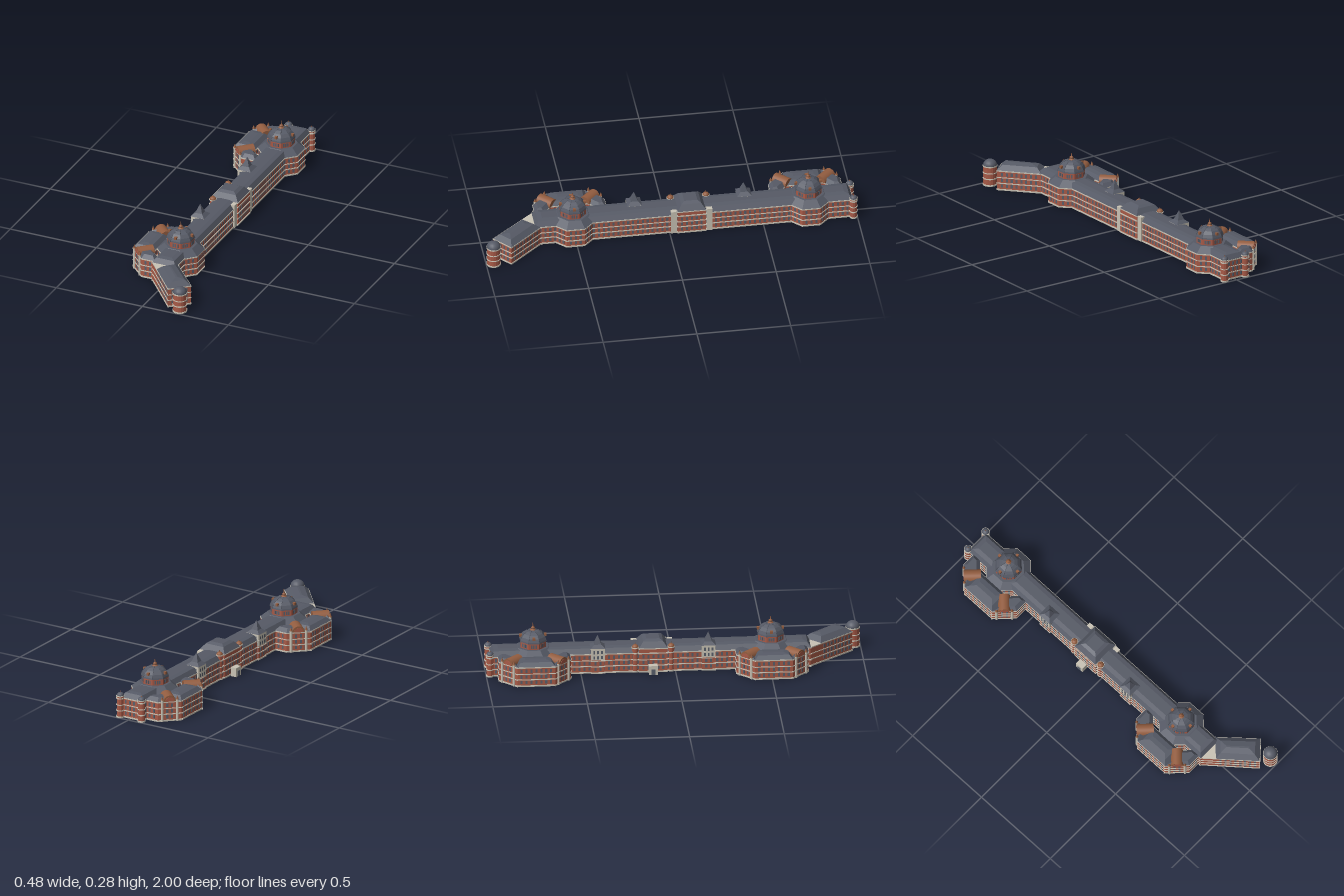
import * as THREE from 'three';
import { mergeGeometries } from 'three/addons/utils/BufferGeometryUtils.js';

const mat = (name, color) => Object.assign(new THREE.MeshStandardMaterial({ color }), { name });
const brick = mat('brick', 0xa85a47), stone = mat('stone', 0xc9c3b5), slate = mat('slate', 0x565a66);
const copper = mat('copper', 0x935d40), glass = mat('glass', 0x59606c);
const EAVE = 0.11;

// ---- footprint helpers: points are [x, z], counter-clockwise seen from above ----
function ordered(pts) {
  let area = 0;
  pts.forEach(([x, z], i) => {
    const [u, w] = pts[(i + 1) % pts.length];
    area += z * u - x * w;
  });
  return area > 0 ? pts : [...pts].reverse();
}
function outward(a, b) {
  const l = Math.hypot(b[0] - a[0], b[1] - a[1]);
  return [-(b[1] - a[1]) / l, (b[0] - a[0]) / l];
}
function offset(pts, d) {
  const n = pts.length;
  return pts.map((p, i) => {
    const a = outward(pts[(i + n - 1) % n], p), b = outward(p, pts[(i + 1) % n]);
    const k = d / (1 + a[0] * b[0] + a[1] * b[1]);
    return [p[0] + (a[0] + b[0]) * k, p[1] + (a[1] + b[1]) * k];
  });
}
const rect = (x0, x1, z0, z1) => [[x0, z1], [x1, z1], [x1, z0], [x0, z0]];
const ngon = (n, r, x, z) => Array.from({ length: n }, (_, i) => {
  const t = (i + 0.5) / n * Math.PI * 2;
  return [x + r * Math.cos(t), z - r * Math.sin(t)];
});
function prism(pts, y0, y1) {
  const s = new THREE.Shape(pts.map(([x, z]) => new THREE.Vector2(x, -z)));
  return new THREE.ExtrudeGeometry(s, { depth: y1 - y0, bevelEnabled: false }).rotateX(-Math.PI / 2).translate(0, y0, 0);
}
// Flat-faced loft through rings [footprint, y], closed on top
function loft(rings) {
  const v = [], n = rings[0][0].length;
  const P = (r, i) => [r[0][i % n][0], r[1], r[0][i % n][1]];
  for (let k = 0; k + 1 < rings.length; k++) for (let i = 0; i < n; i++) {
    const a = P(rings[k], i), b = P(rings[k], i + 1), c = P(rings[k + 1], i + 1), d = P(rings[k + 1], i);
    v.push(...a, ...b, ...c, ...a, ...c, ...d);
  }
  const top = rings[rings.length - 1];
  for (let i = 1; i + 1 < n; i++) v.push(...P(top, 0), ...P(top, i), ...P(top, i + 1));
  const g = new THREE.BufferGeometry();
  g.setAttribute('position', new THREE.Float32BufferAttribute(v, 3));
  g.computeVertexNormals();
  return g;
}
function add(parent, name, geo, material, x = 0, y = 0, z = 0) {
  const m = new THREE.Mesh(geo, material);
  m.name = name;
  m.position.set(x, y, z);
  parent.add(m);
  return m;
}
function group(parent, name) {
  const g = new THREE.Group();
  g.name = name;
  parent.add(g);
  return g;
}
// Evenly spaced window plates along each wall of a footprint
function windows(pts, rows, gap, w) {
  const out = [];
  pts.forEach((a, i) => {
    const b = pts[(i + 1) % pts.length], n = outward(a, b);
    const len = Math.hypot(b[0] - a[0], b[1] - a[1]), count = Math.floor((len - 0.012) / gap);
    for (let k = 0; k < count; k++) for (const [y0, y1] of rows) {
      const t = 0.5 + (k - (count - 1) / 2) * gap / len;
      out.push(new THREE.BoxGeometry(w, y1 - y0, 0.003).rotateY(Math.atan2(n[0], n[1]))
        .translate(a[0] + (b[0] - a[0]) * t, (y0 + y1) / 2, a[1] + (b[1] - a[1]) * t));
    }
  });
  return out.length ? mergeGeometries(out) : null;
}
const FLOORS = [[0.016, 0.034], [0.047, 0.066], [0.079, 0.098]];
// Brick block with stone bands, cornice and windows
function block(parent, name, footprint, { top = EAVE, glazed = true } = {}) {
  const g = group(parent, name), pts = ordered(footprint), edge = offset(pts, 0.003);
  add(g, 'brickWalls', prism(pts, 0.004, top - 0.003), brick);
  const bands = [[0, 0.008], [0.037, 0.042], [0.069, 0.073], [0.104, EAVE]];
  if (top > EAVE) bands.push([top - 0.005, top]);
  add(g, 'stoneBands', mergeGeometries(bands.map(([a, b]) => prism(edge, a, b))), stone);
  const panes = glazed && windows(pts, FLOORS, 0.026, 0.011);
  if (panes) add(g, 'windows', panes, glass);
  return g;
}
// Steep lower slope and a nearly flat upper slope
function mansard(parent, name, footprint, y0, y1, inset, ridge = 0, ridgeInset = 0) {
  const pts = ordered(footprint), rings = [[offset(pts, 0.001), y0], [offset(pts, -inset), y1]];
  if (ridge) rings.push([offset(pts, -ridgeInset), ridge]);
  add(parent, name, loft(rings), slate);
}
function turret(parent, name, x, z, r, h, sides, capMaterial) {
  const g = block(parent, name, ngon(sides, r, x, z), { top: h, glazed: false });
  add(g, 'cap', new THREE.SphereGeometry(r * 1.03, sides, 6, 0, Math.PI * 2, 0, Math.PI / 2), capMaterial, x, h, z).scale.y = 0.88;
  return g;
}

// Octagonal hall with drum, ribbed dome, lantern and spire
function domeHall(parent, z) {
  const g = group(parent, 'domeHall'), x = -0.005;
  const hall = ngon(8, 0.125, x, z);
  block(g, 'octagonHall', hall);
  mansard(g, 'octagonRoof', hall, EAVE, 0.142, 0.035);
  const drum = ngon(8, 0.072, x, z);
  add(g, 'drum', prism(drum, 0.135, 0.174), brick);
  add(g, 'drumWindows', windows(drum, [[0.148, 0.167]], 0.012, 0.008), glass);
  const profile = [[0.075, 0.174], [0.073, 0.182], [0.066, 0.198], [0.052, 0.214], [0.034, 0.225], [0.014, 0.23]];
  add(g, 'dome', loft(profile.map(([r, y]) => [ngon(8, r, x, z), y])), slate);
  for (let i = 0; i < 8; i++) {
    const t = (i + 0.5) * Math.PI / 4;
    const path = new THREE.CatmullRomCurve3(profile.map(([r, y]) => new THREE.Vector3(x + r * Math.cos(t), y, z - r * Math.sin(t))));
    add(g, 'domeRib', new THREE.TubeGeometry(path, 10, 0.0015, 4), slate);
  }
  for (let i = 0; i < 4; i++) {
    const t = i * Math.PI / 2;
    add(g, 'dormer', new THREE.BoxGeometry(0.013, 0.014, 0.014), copper, x + 0.065 * Math.cos(t), 0.201, z + 0.065 * Math.sin(t));
  }
  const lantern = [[0.015, 0.228], [0.015, 0.232], [0.008, 0.234], [0.008, 0.239], [0.011, 0.241], [0.009, 0.246], [0.003, 0.25], [0.002, 0.26], [0, 0.275]];
  add(g, 'lantern', new THREE.LatheGeometry(lantern.map(p => new THREE.Vector2(...p)), 8), copper, x, 0, z);
}

// Rear pavilion: a middle block and two canted arms with barrel gables
function rearPavilion(parent, z) {
  const g = group(parent, 'rearPavilion');
  const middle = rect(-0.235, -0.12, z - 0.1, z + 0.1);
  block(g, 'middleBlock', middle);
  mansard(g, 'middleRoof', middle, EAVE, 0.13, 0.018, 0.135, 0.045);
  for (const s of [-1, 1]) {
    const arm = [[-0.235, 0.1], [-0.145, 0.19], [-0.07, 0.19], [-0.07, 0.145], [-0.12, 0.1]].map(([x, d]) => [x, z + s * d]);
    block(g, 'cantedArm', arm);
    mansard(g, 'armRoof', arm, EAVE, 0.13, 0.018);
    const half = (r, l) => new THREE.CylinderGeometry(r, r, l, 16, 1, false, Math.PI / 2, Math.PI).rotateX(Math.PI / 2);
    const gable = group(g, 'barrelGable');
    gable.position.set(-0.19, EAVE, z + s * 0.145);
    gable.rotation.y = Math.atan2(-1, s);
    add(gable, 'barrelRoof', half(0.033, 0.09), copper, 0, 0, -0.042);
    add(gable, 'archPanel', half(0.024, 0.004), brick, 0, 0, 0.003);
    for (const side of [-0.041, 0.041]) {
      add(gable, 'pilaster', new THREE.CylinderGeometry(0.007, 0.007, 0.12, 8), stone, side, -0.05, 0.002);
      add(gable, 'finial', new THREE.ConeGeometry(0.008, 0.022, 8), copper, side, 0.021, 0.002);
    }
  }
}

export function createModel() {
  const model = new THREE.Group();
  model.name = 'longBrickStation';

  // Long main range
  const range = rect(-0.075, 0.06, -0.975, 0.715);
  block(model, 'mainRange', range);
  mansard(model, 'mainRoof', range, EAVE, 0.135, 0.016, 0.14, 0.04);
  for (const z of [-0.748, 0.508]) {
    domeHall(model, z);
    rearPavilion(model, z);
  }
  for (const x of [-0.07, 0.063]) {
    const t = turret(model, 'endTurret', x, -0.98, 0.019, 0.122, 12, slate);
    add(t, 'finial', new THREE.ConeGeometry(0.003, 0.01, 6), copper, x, 0.143, -0.98);
  }

  // Central block with its taller roof, piers, turrets and porch
  const mid = rect(-0.083, 0.07, -0.192, -0.042);
  block(model, 'centralBlock', mid, { top: 0.135 });
  mansard(model, 'centralRoof', mid, 0.135, 0.165, 0.022, 0.175, 0.04);
  for (const z of [-0.212, -0.022]) {
    add(model, 'frontPier', new THREE.BoxGeometry(0.024, 0.135, 0.03), stone, 0.056, 0.0675, z);
    const t = turret(model, 'rearTurret', -0.065, z, 0.017, 0.138, 12, copper);
    add(t, 'finial', new THREE.ConeGeometry(0.003, 0.014, 6), copper, -0.065, 0.159, z);
  }
  add(model, 'porch', new THREE.BoxGeometry(0.034, 0.05, 0.046), stone, -0.108, 0.025, -0.12);
  add(model, 'porchDoor', new THREE.BoxGeometry(0.004, 0.03, 0.02), glass, -0.125, 0.016, -0.12);

  // Rear stair bays with flared pyramid spires
  for (const z of [-0.41, 0.175]) {
    const g = group(model, 'spireBay'), base = ordered(rect(-0.083, -0.012, z - 0.035, z + 0.035));
    block(g, 'bayWalls', base);
    const upper = offset(base, 0.002);
    add(g, 'stoneStorey', prism(upper, 0.076, 0.142), stone);
    add(g, 'bayWindows', windows(upper, [[0.083, 0.1], [0.112, 0.13]], 0.02, 0.01), glass);
    add(g, 'spire', loft([[offset(base, 0.004), 0.142], [offset(base, -0.016), 0.158], [offset(base, -0.0345), 0.206]]), slate);
  }

  // Angled end wing, its flat link and the detached corner tower
  const wing = [[-0.02, 0.775], [0.127, 0.95], [0.22, 0.868], [0.063, 0.69]];
  block(model, 'endWing', wing);
  mansard(model, 'endWingRoof', wing, EAVE, 0.135, 0.025, 0.1425, 0.056);
  block(model, 'wingLink', [[-0.075, 0.71], [-0.02, 0.775], [0.06, 0.69]], { glazed: false });
  turret(model, 'cornerTower', 0.2, 0.96, 0.036, EAVE, 16, slate);
  return model;
}
